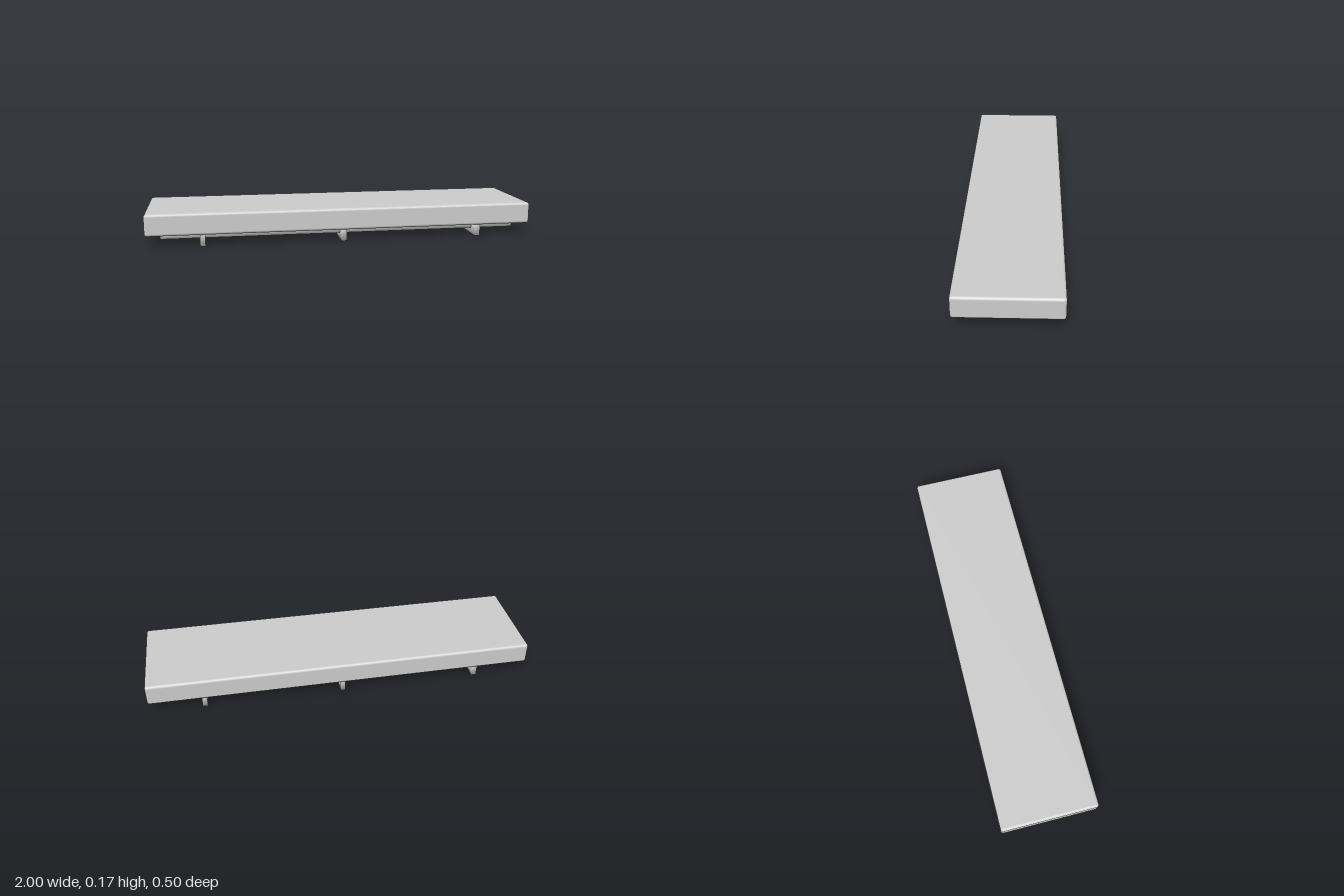
import * as THREE from 'three';
import { RoundedBoxGeometry } from 'three/addons/geometries/RoundedBoxGeometry.js';

const grey = new THREE.MeshStandardMaterial({ color: 0xcccccc });
grey.name = 'light grey';

// Box whose normals are shared at each corner, for soft shading
function softBox(width, height, depth) {
  const geometry = new THREE.BoxGeometry(width, height, depth);
  const { position, normal } = geometry.attributes;
  const n = new THREE.Vector3();
  for (let i = 0; i < position.count; i++) {
    n.set(Math.sign(position.getX(i)), Math.sign(position.getY(i)), Math.sign(position.getZ(i))).normalize();
    normal.setXYZ(i, n.x, n.y, n.z);
  }
  return geometry;
}

export function createModel() {
  const model = new THREE.Group();
  model.name = 'slab on crossbars';

  function add(name, geometry, x, y) {
    const mesh = new THREE.Mesh(geometry, grey);
    mesh.name = name;
    mesh.position.set(x, y, 0);
    model.add(mesh);
  }

  // Long top slab with softened edges
  add('slab', new RoundedBoxGeometry(2, 0.112, 0.5, 4, 0.014), 0, 0.116);

  // Shallow panel under the slab
  add('underPanel', softBox(1.86, 0.032, 0.356), 0, 0.046);

  // Three bars crossing beneath the panel
  const barGeometry = softBox(0.027, 0.062, 0.475);
  [['rightCrossbar', -0.717], ['middleCrossbar', 0], ['leftCrossbar', 0.717]].forEach(
    ([name, x]) => add(name, barGeometry, x, 0.031)
  );

  return model;
}
